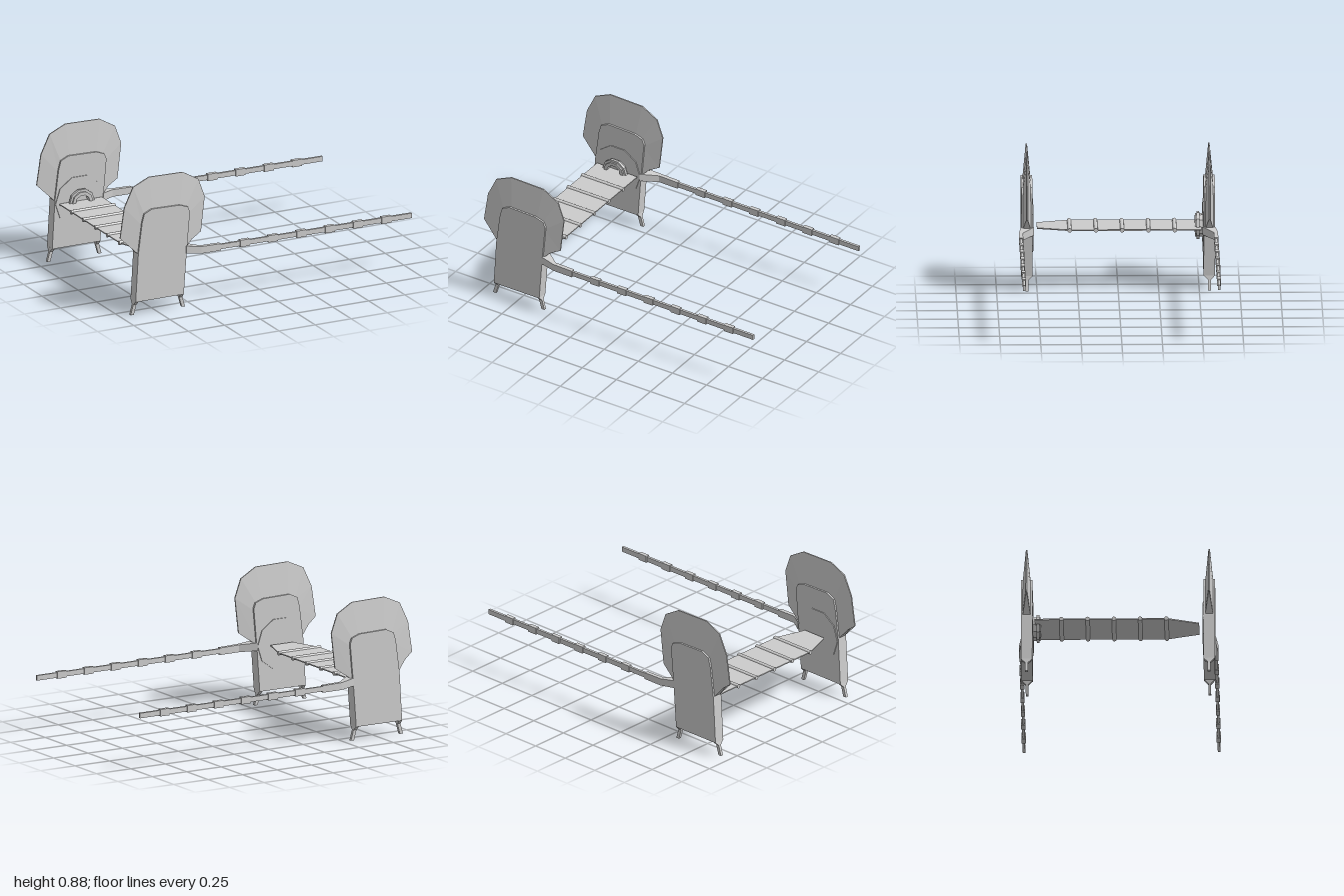
import * as THREE from 'three';

const grey = new THREE.MeshStandardMaterial({ color: 0xcccccc });
grey.name = 'lightGrey';
const MID_Z = 0.5625, CX = -0.722, CY = 0.379;

// Faceted solid through closed cross-sections, capped at both ends
function loft(sections) {
  const n = sections[0].length, tris = [];
  for (let i = 0; i < sections.length - 1; i++) {
    const a = sections[i], b = sections[i + 1];
    for (let j = 0; j < n; j++) {
      const k = (j + 1) % n;
      tris.push([a[j], a[k], b[k]], [a[j], b[k], b[j]]);
    }
  }
  const first = sections[0], last = sections[sections.length - 1];
  for (let j = 1; j < n - 1; j++) {
    tris.push([first[0], first[j + 1], first[j]], [last[0], last[j], last[j + 1]]);
  }
  // Turn the faces outward
  const v = (p) => new THREE.Vector3(...p);
  let volume = 0;
  for (const [a, b, c] of tris) volume += v(a).dot(v(b).cross(v(c)));
  const out = volume < 0 ? tris.map(([a, b, c]) => [a, c, b]) : tris;
  const geo = new THREE.BufferGeometry();
  geo.setAttribute('position', new THREE.Float32BufferAttribute(out.flat(2), 3));
  geo.computeVertexNormals();
  return geo;
}

// Rectangle across x, and rectangle across y
const sectionX = (x, y0, y1, z0, z1) => [[x, y0, z0], [x, y1, z0], [x, y1, z1], [x, y0, z1]];
const sectionY = (y, x0, x1, z0, z1) => [[x0, y, z0], [x1, y, z0], [x1, y, z1], [x0, y, z1]];

function add(parent, name, geo, x = 0, y = 0, z = 0) {
  const mesh = new THREE.Mesh(geo, grey);
  mesh.name = name;
  mesh.position.set(x, y, z);
  parent.add(mesh);
}

// Front outline of the upright slab
const slabOutline = [
  [-0.908, 0.09], [-0.575, 0.09], [-0.553, 0.385], [-0.532, 0.62], [-0.546, 0.655],
  [-0.6, 0.675], [-0.794, 0.68], [-0.847, 0.655], [-0.863, 0.6], [-0.89, 0.395],
];

// Crest rows: thin outer edge x, y, then thick inner edge x, y
const crestRows = [
  [-0.97, 0.497, -0.885, 0.395],
  [-1.0, 0.51, -0.88, 0.42],
  [-0.97, 0.705, -0.86, 0.58],
  [-0.91, 0.83, -0.84, 0.64],
  [-0.8, 0.88, -0.785, 0.665],
  [-0.564, 0.875, -0.6, 0.66],
  [-0.457, 0.813, -0.56, 0.64],
  [-0.414, 0.695, -0.545, 0.6],
  [-0.44, 0.47, -0.555, 0.41],
  [-0.463, 0.476, -0.558, 0.385],
];

function makeUpright(side) {
  const g = new THREE.Group();
  g.name = side > 0 ? 'frontUpright' : 'backUpright';
  const zc = side * MID_Z;

  // Slab
  const shape = new THREE.Shape(slabOutline.map(([x, y]) => new THREE.Vector2(x, y)));
  add(g, 'slab', new THREE.ExtrudeGeometry(shape, { depth: 0.07, bevelEnabled: false }), 0, 0, zc - 0.035);

  // Wedge-shaped crest
  add(g, 'crest', loft(crestRows.map(([ox, oy, ix, iy]) => [
    [ox, oy, zc + 0.004], [ox, oy, zc - 0.004], [ix, iy, zc - 0.025], [ix, iy, zc + 0.025],
  ])));

  // Splayed feet
  for (const [name, xTop, dir] of [['outerFoot', -0.897, -1], ['innerFoot', -0.586, 1]]) {
    const cut = (y, shift, hw, hz) =>
      sectionY(y, xTop + dir * shift - hw, xTop + dir * shift + hw, zc - hz, zc + hz);
    add(g, name, loft([cut(0.092, 0, 0.011, 0.035), cut(0.065, 0.004, 0.011, 0.009), cut(0, 0.022, 0.011, 0.009)]));
  }

  // Ten-sided plate on the inner face
  const plate = new THREE.CylinderGeometry(0.165, 0.165, 0.008, 10).toNonIndexed();
  plate.rotateY(Math.PI / 2);
  plate.rotateX(Math.PI / 2);
  plate.computeVertexNormals();
  add(g, 'innerPlate', plate, CX, CY, side * 0.526);

  // Arm root bending out from the slab, then the long bar
  const cutArm = (x, y0, y1, z0, z1) => sectionX(x, y0, y1, side * z0, side * z1);
  add(g, 'armRoot', loft([
    cutArm(-0.558, 0.352, 0.402, 0.52, 0.6),
    cutArm(-0.46, 0.342, 0.388, 0.588, 0.614),
    cutArm(-0.325, 0.341, 0.385, 0.588, 0.614),
  ]));
  add(g, 'armBar', loft([cutArm(-0.33, 0.348, 0.379, 0.593, 0.609), cutArm(1, 0.341, 0.373, 0.593, 0.609)]));

  // Collars along the bar
  for (let i = 0; i < 6; i++) {
    const x = -0.158 + i * 0.196;
    add(g, 'armCollar', new THREE.BoxGeometry(0.066, 0.044, 0.026), x, 0.363 - i * 0.001, side * 0.601);
  }
  return g;
}

function makeWalkway() {
  const g = new THREE.Group();
  g.name = 'walkway';

  // Flat deck with a tapered front end
  const deck = new THREE.Shape([
    [-0.866, -0.513], [-0.572, -0.513], [-0.572, 0.305], [-0.636, 0.5], [-0.797, 0.5], [-0.866, 0.305],
  ].map(([x, z]) => new THREE.Vector2(x, z)));
  const geo = new THREE.ExtrudeGeometry(deck, { depth: 0.007, bevelEnabled: false });
  geo.rotateX(Math.PI / 2);
  add(g, 'deck', geo, 0, CY + 0.0035, 0);

  // Cross rods
  for (let i = 0; i < 5; i++) {
    const rod = new THREE.CylinderGeometry(0.013, 0.013, 0.306, 16);
    rod.rotateZ(Math.PI / 2);
    add(g, 'crossRod', rod, -0.719, CY, 0.299 - i * 0.162);
  }

  // Ten-sided flanged hub with a recessed centre on the back upright
  const profile = [
    [0, 0.012], [0.05, 0.012], [0.05, 0.05], [0.072, 0.05], [0.072, 0.04],
    [0.087, 0.04], [0.087, 0.023], [0.072, 0.023], [0.072, 0],
  ].map(([r, y]) => new THREE.Vector2(r, y)).reverse();
  const hub = new THREE.LatheGeometry(profile, 10, Math.PI / 10).toNonIndexed();
  hub.rotateX(Math.PI / 2);
  hub.computeVertexNormals();
  add(g, 'hub', hub, CX, CY, -0.525);
  return g;
}

export function createModel() {
  const model = new THREE.Group();
  model.name = 'uprightsWithWalkway';
  model.add(makeUpright(1), makeUpright(-1), makeWalkway());
  return model;
}
